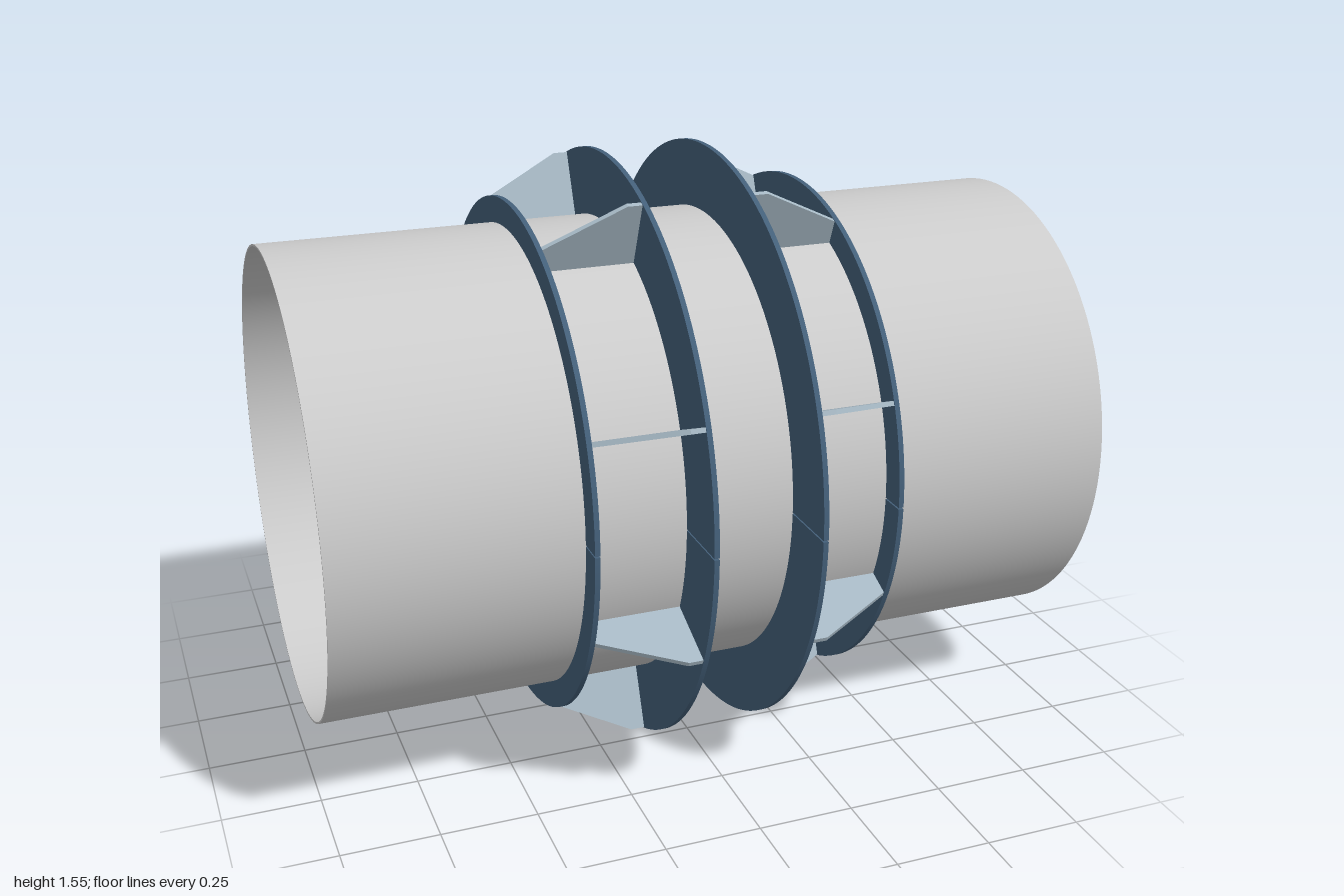
import * as THREE from 'three';
import { toCreasedNormals } from 'three/addons/utils/BufferGeometryUtils.js';

const AXIS_Y = 0.775;
const PIPE_R = 0.602, PIPE_INNER = 0.597;
const FLANGE_R = 0.775, COLLAR_R = 0.67;
const FLANGE_X = 0.137, COLLAR_X = 0.388;
const PLATE = 0.013, RIB = 0.012, SLIT = 0.002;

// Half of a flat ring, lying across the x axis, with a narrow slit at its ends
function halfRing(radius) {
  const a = Math.asin(SLIT / radius), b = Math.asin(SLIT / PIPE_R);
  const shape = new THREE.Shape();
  shape.absarc(0, 0, radius, a, Math.PI - a, false);
  shape.absarc(0, 0, PIPE_R, Math.PI - b, b, true);
  const geo = new THREE.ExtrudeGeometry(shape, { depth: PLATE, bevelEnabled: false, curveSegments: 64 });
  geo.translate(0, 0, -PLATE / 2);
  geo.rotateY(Math.PI / 2);
  return toCreasedNormals(geo, 0.5);
}

// Tapered stiffener plate between the collar and the flange
function ribGeometry(side) {
  const inner = FLANGE_X + PLATE / 2, outer = COLLAR_X - PLATE / 2;
  const points = [
    [inner, PIPE_R - 0.002], [outer, PIPE_R - 0.002], [outer, 0.668], [0.18, 0.773], [inner, 0.773],
  ].map(([x, r]) => new THREE.Vector2(side * x, r));
  const geo = new THREE.ExtrudeGeometry(new THREE.Shape(points), { depth: RIB, bevelEnabled: false });
  geo.translate(0, 0, -RIB / 2);
  return geo;
}

export function createModel() {
  const model = new THREE.Group();
  model.name = 'pipeCoupling';
  const body = new THREE.Group();
  body.name = 'couplingBody';
  body.position.y = AXIS_Y;
  model.add(body);

  const grey = new THREE.MeshStandardMaterial({ color: 0xcccccc });
  const blue = new THREE.MeshStandardMaterial({ color: 0x44607a });
  const paleBlue = new THREE.MeshStandardMaterial({ color: 0xa6b8c4 });

  const add = (parent, name, geometry, material) => {
    const mesh = new THREE.Mesh(geometry, material);
    mesh.name = name;
    parent.add(mesh);
    return mesh;
  };

  // Thin-walled pipe, open at both ends
  const wall = [[PIPE_R, -1], [PIPE_R, 1], [PIPE_INNER, 1], [PIPE_INNER, -1], [PIPE_R, -1]]
    .map(([r, y]) => new THREE.Vector2(r, y));
  const pipe = toCreasedNormals(new THREE.LatheGeometry(wall, 128), 0.5);
  pipe.rotateZ(Math.PI / 2);
  add(body, 'pipe', pipe, grey);

  const flangeHalf = halfRing(FLANGE_R);
  const collarHalf = halfRing(COLLAR_R);

  for (const side of [-1, 1]) {
    const assembly = new THREE.Group();
    assembly.name = side > 0 ? 'leftFlangeAssembly' : 'rightFlangeAssembly';
    body.add(assembly);

    // Split flange and collar, upper and lower halves
    for (const [half, turn] of [['upper', 0], ['lower', Math.PI]]) {
      const flange = add(assembly, half + 'Flange', flangeHalf, blue);
      flange.position.x = side * FLANGE_X;
      flange.rotation.x = turn;
      const collar = add(assembly, half + 'Collar', collarHalf, blue);
      collar.position.x = side * COLLAR_X;
      collar.rotation.x = turn;
    }

    // Eight radial ribs
    const ribGeo = ribGeometry(side);
    for (let i = 0; i < 8; i++) {
      add(assembly, 'rib' + (i + 1), ribGeo, paleBlue).rotation.x = (i + 0.5) * Math.PI / 4;
    }
  }
  return model;
}
